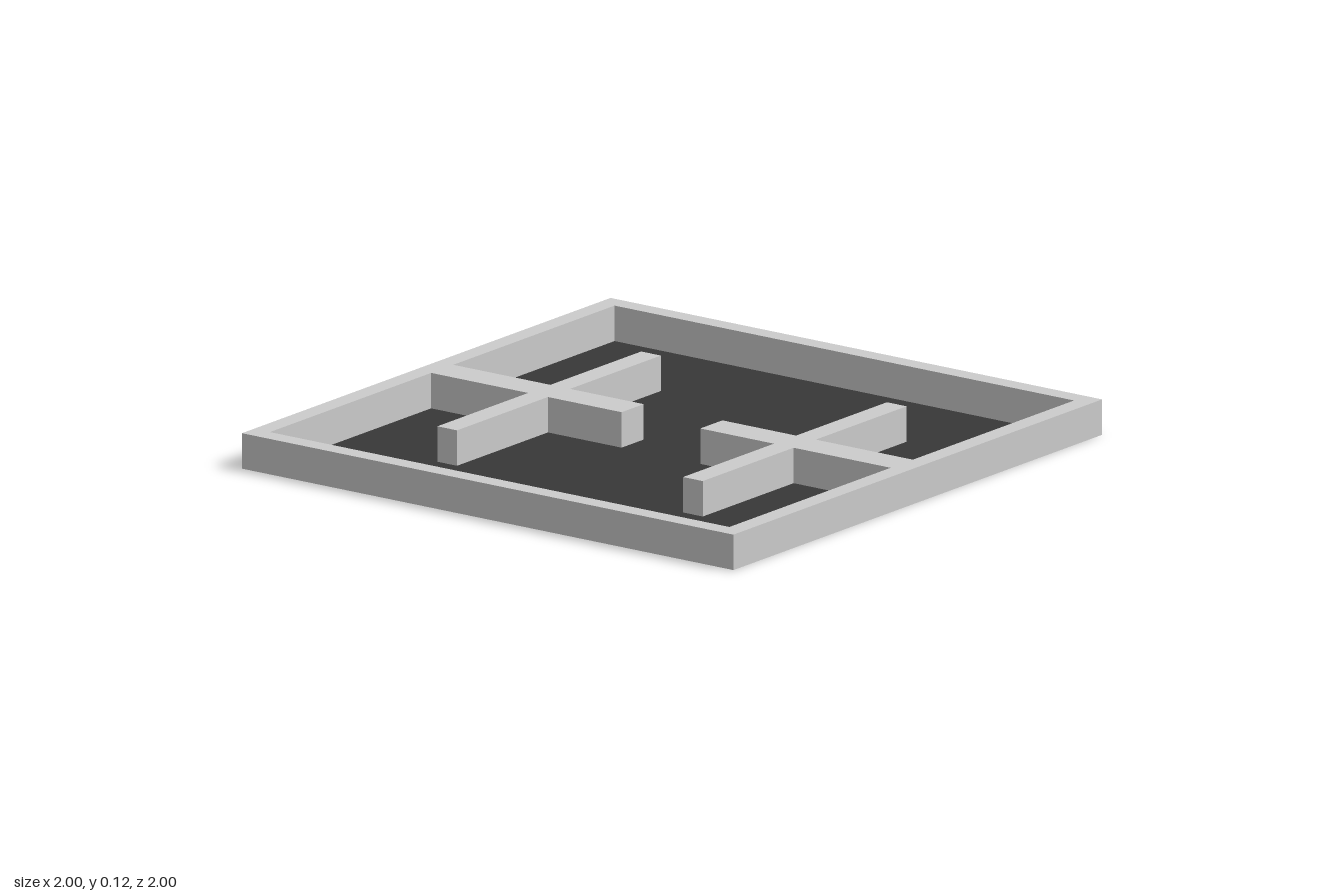
import * as THREE from 'three';

const HEIGHT = 0.12;
const INNER = 0.935;

// One quarter of the inner outline: frame corner, then around the cross to its tip
const QUARTER = [
  [INNER, INNER], [0.06, INNER], [0.06, 0.54], [0.553, 0.54],
  [0.553, 0.46], [0.06, 0.46], [0.06, 0.16],
];

// Mirror the quarter into the full outline of the floor area
function innerOutline() {
  const quarter = (sx, sy) => QUARTER.map(([x, y]) => new THREE.Vector2(x * sx, y * sy));
  return [
    ...quarter(1, 1),
    ...quarter(-1, 1).reverse(),
    ...quarter(-1, -1),
    ...quarter(1, -1).reverse(),
  ];
}

// Drop the triangles lying on the ground, leaving the walls open underneath
function openBottom(geometry) {
  const p = geometry.attributes.position;
  const kept = [];
  for (let i = 0; i < p.count; i += 3) {
    if ([0, 1, 2].some((k) => p.getY(i + k) > 0.01)) kept.push(i, i + 1, i + 2);
  }
  geometry.clearGroups();
  geometry.setIndex(kept);
  return geometry;
}

export function createModel() {
  const group = new THREE.Group();
  group.name = 'walledTray';

  // Outer frame with the two cross-shaped partitions, hollow from below
  const frame = new THREE.Shape([[-1, -1], [1, -1], [1, 1], [-1, 1]].map(([x, y]) => new THREE.Vector2(x, y)));
  frame.holes.push(new THREE.Path(innerOutline()));
  const wallGeometry = new THREE.ExtrudeGeometry(frame, { depth: HEIGHT, bevelEnabled: false });
  wallGeometry.rotateX(-Math.PI / 2);
  const walls = new THREE.Mesh(
    openBottom(wallGeometry),
    new THREE.MeshStandardMaterial({ color: 0xcccccc, side: THREE.DoubleSide }),
  );
  walls.name = 'walls';

  // Dark floor filling the space between the walls
  const floorGeometry = new THREE.ShapeGeometry(new THREE.Shape(innerOutline()));
  floorGeometry.rotateX(-Math.PI / 2);
  const floor = new THREE.Mesh(
    floorGeometry,
    new THREE.MeshStandardMaterial({ color: 0x383838, side: THREE.DoubleSide }),
  );
  floor.name = 'floor';

  group.add(walls, floor);
  return group;
}
